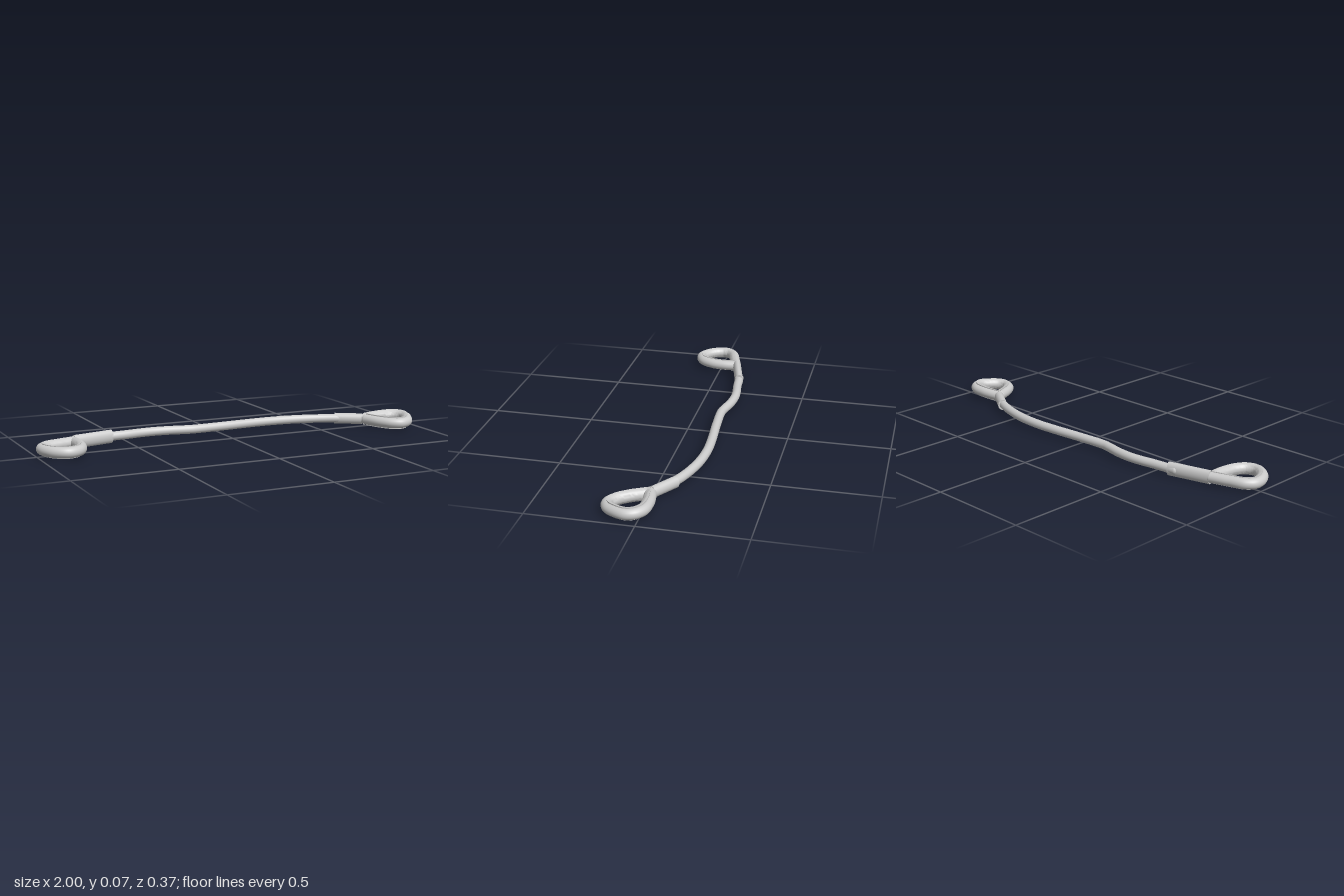
import * as THREE from 'three';
import { toCreasedNormals } from 'three/addons/utils/BufferGeometryUtils.js';

const material = new THREE.MeshStandardMaterial({ color: 0xcccccc });
const shellMaterial = new THREE.MeshStandardMaterial({ color: 0xcccccc, side: THREE.DoubleSide });
const Y = 0.037;

function add(group, name, geometry, mat = material) {
  const mesh = new THREE.Mesh(geometry, mat);
  mesh.name = name;
  group.add(mesh);
  return mesh;
}

// Curve through [x, z] points, with height given by a function
function curveOf(points, height = () => Y) {
  return new THREE.CatmullRomCurve3(points.map(([x, z]) => new THREE.Vector3(x, height(x, z), z)));
}

// Rope with rounded ends
function rope(group, name, curve, radius, segments) {
  const part = new THREE.Group();
  part.name = name;
  add(part, name + 'Strand', new THREE.TubeGeometry(curve, segments, radius, 20));
  for (const t of [0, 1]) {
    add(part, name + 'End', new THREE.SphereGeometry(radius, 20, 12)).position.copy(curve.getPoint(t));
  }
  group.add(part);
}

// Half-round channel lining the inside of an eye
function thimbleGeometry(curve, inner, outer, segments = 72) {
  const profile = [[0, -inner]];
  for (let i = 0; i <= 12; i++) {
    const a = (i / 12 - 0.5) * Math.PI;
    profile.push([outer * Math.cos(a), outer * Math.sin(a)]);
  }
  profile.push([0, inner]);
  const n = profile.length, position = [], index = [];
  for (let i = 0; i <= segments; i++) {
    const p = curve.getPointAt(i / segments), t = curve.getTangentAt(i / segments);
    const side = new THREE.Vector3(-t.z, 0, t.x).normalize();
    profile.forEach(([u, v], j) => {
      position.push(p.x + side.x * u, p.y + v, p.z + side.z * u);
      if (i < segments && j < n - 1) {
        const a = i * n + j, b = a + n;
        index.push(a, a + 1, b, b, a + 1, b + 1);
      }
    });
  }
  const g = new THREE.BufferGeometry();
  g.setAttribute('position', new THREE.Float32BufferAttribute(position, 3));
  g.setIndex(index);
  return toCreasedNormals(g, 0.8);
}

// Oval crimp sleeve between two [x, z] points
function sleeve(group, name, from, to, halfWidth, halfHeight) {
  const a = new THREE.Vector3(from[0], Y, from[1]), b = new THREE.Vector3(to[0], Y, to[1]);
  const geometry = new THREE.CylinderGeometry(1, 1, a.distanceTo(b), 24);
  geometry.scale(halfWidth, 1, halfHeight);
  geometry.rotateX(Math.PI / 2);
  const mesh = add(group, name, geometry);
  mesh.position.copy(a).lerp(b, 0.5);
  mesh.lookAt(b);
}

export function createModel() {
  const model = new THREE.Group();
  model.name = 'ropeSling';

  // Main rope
  rope(model, 'mainRope', curveOf([
    [-0.62, -0.142], [-0.5, -0.153], [-0.43, -0.163], [-0.36, -0.167], [-0.28, -0.160],
    [-0.21, -0.145], [-0.165, -0.137], [0, -0.144], [0.15, -0.156], [0.28, -0.161],
    [0.4, -0.152], [0.5, -0.131], [0.58, -0.105], [0.66, -0.07],
  ]), 0.022, 120);

  // Eyes at both ends, each a rope loop lined by a thimble
  const rightEye = curveOf([
    [-0.79, -0.085], [-0.788, -0.02], [-0.8, 0.05], [-0.832, 0.102], [-0.885, 0.12],
    [-0.937, 0.09], [-0.97, 0.035], [-0.973, -0.012], [-0.945, -0.045], [-0.87, -0.07], [-0.79, -0.093],
  ]);
  rope(model, 'rightEyeRope', rightEye, 0.026, 96);
  add(model, 'rightThimble', thimbleGeometry(rightEye, 0.024, 0.029), shellMaterial);

  const leftEye = curveOf([
    [0.755, -0.008], [0.81, -0.019], [0.86, -0.024], [0.925, -0.018], [0.964, 0.012],
    [0.974, 0.05], [0.955, 0.1], [0.922, 0.142], [0.88, 0.155], [0.84, 0.135], [0.8, 0.085], [0.762, 0.008],
  ], (x, z) => Y + 0.03 * (x - 0.87) - 0.05 * (z - 0.065));
  rope(model, 'leftEyeRope', leftEye, 0.026, 96);
  add(model, 'leftThimble', thimbleGeometry(leftEye, 0.024, 0.031), shellMaterial);

  // Crimp sleeves
  sleeve(model, 'rightSleeve', [-0.79, -0.096], [-0.585, -0.146], 0.022, 0.033);
  sleeve(model, 'leftSleeve', [0.63, -0.09], [0.75, -0.012], 0.024, 0.028);

  return model;
}
